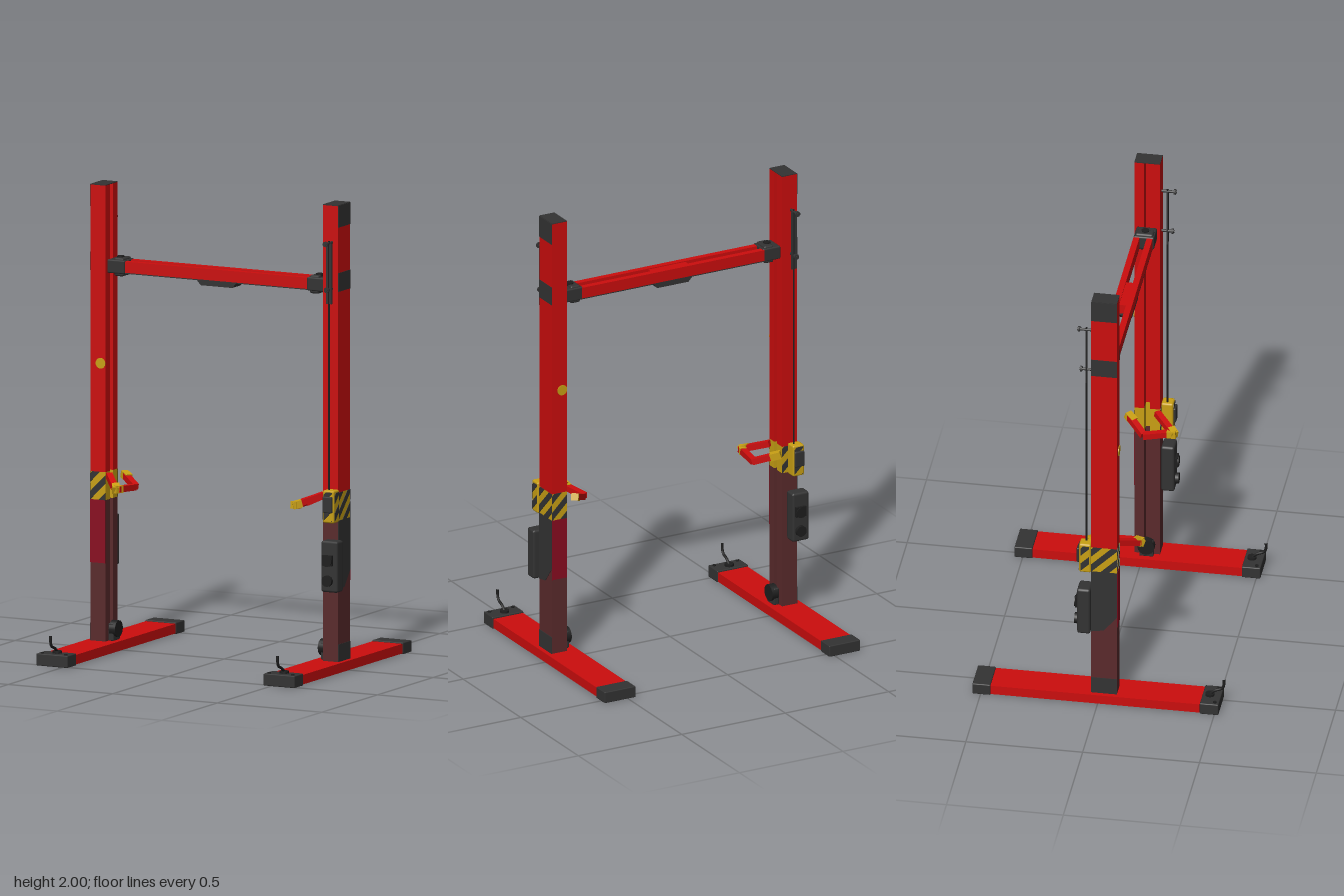
import * as THREE from 'three';
import { RoundedBoxGeometry } from 'three/addons/geometries/RoundedBoxGeometry.js';

const mat = (name, color) => {
  const m = new THREE.MeshStandardMaterial({ color });
  m.name = name;
  return m;
};

export function createModel() {
  const red = mat('red paint', 0xcc0d0d);
  const dark = mat('dark grey', 0x333333);
  const black = mat('black', 0x1e1e1e);
  const yellow = mat('warning yellow', 0xc9a014);
  const brown = mat('dark maroon', 0x5a2a2c);
  const crimson = mat('crimson', 0x8a0c20);

  const add = (parent, name, geo, material) => {
    const m = new THREE.Mesh(geo, material);
    m.name = name;
    parent.add(m);
    return m;
  };
  // Box from its limits, optionally with rounded edges
  const box = (parent, name, material, x0, x1, y0, y1, z0, z1, r = 0) => {
    const w = Math.abs(x1 - x0), h = y1 - y0, d = z1 - z0;
    const g = r ? new RoundedBoxGeometry(w, h, d, 1, r) : new THREE.BoxGeometry(w, h, d);
    g.translate((x0 + x1) / 2, (y0 + y1) / 2, (z0 + z1) / 2);
    return add(parent, name, g, material);
  };
  // Round bar between two points
  const bar = (parent, name, material, a, b, r, sides = 10) => {
    const p = new THREE.Vector3(...a), q = new THREE.Vector3(...b), dir = q.clone().sub(p);
    const m = add(parent, name, new THREE.CylinderGeometry(r, r, dir.length(), sides), material);
    m.position.copy(p).add(q).multiplyScalar(0.5);
    m.quaternion.setFromUnitVectors(new THREE.Vector3(0, 1, 0), dir.normalize());
    return m;
  };
  // Diagonal hazard stripes inside a w by h panel, centred
  const stripes = (w, h) => {
    const shapes = [];
    const clip = (pts, limit, sign) => {
      const out = [];
      pts.forEach((p, i) => {
        const q = pts[(i + 1) % pts.length];
        const inP = sign * (limit - p[0]) >= 0, inQ = sign * (limit - q[0]) >= 0;
        if (inP) out.push(p);
        if (inP !== inQ) {
          const t = (limit - p[0]) / (q[0] - p[0]);
          out.push([limit, p[1] + t * (q[1] - p[1])]);
        }
      });
      return out;
    };
    for (let c = -h + 0.01; c < w; c += 0.075) {
      let pts = [[c, 0], [c + 0.036, 0], [c + 0.036 + h, h], [c + h, h]];
      pts = clip(clip(pts, w, 1), 0, -1);
      if (pts.length > 2) shapes.push(new THREE.Shape(pts.map(p => new THREE.Vector2(p[0] - w / 2, p[1] - h / 2))));
    }
    return new THREE.ExtrudeGeometry(shapes, { depth: 0.002, bevelEnabled: false });
  };
  const addStripes = (parent, w, h, x, y, z, turn) => {
    const m = add(parent, 'hazardStripes', stripes(w, h), dark);
    m.position.set(x, y, z);
    m.rotation.y = turn;
  };

  const model = new THREE.Group();
  model.name = 'adjustableRack';
  const rack = new THREE.Group();
  rack.name = 'rack';
  rack.position.x = -0.005;
  model.add(rack);

  // Slotted upright channel, open towards the inside
  const X0 = 0.52, X1 = 0.592, Z0 = -0.03, Z1 = 0.08, ZC = 0.025;
  const profile = new THREE.Shape([
    [X0, -Z1], [X1, -Z1], [X1, -Z0], [X0, -Z0], [X0, -0.012], [0.57, -0.012], [0.57, -0.038], [X0, -0.038],
  ].map(p => new THREE.Vector2(...p)));
  const channel = (parent, name, material, y0, y1) => {
    const g = new THREE.ExtrudeGeometry(profile, { depth: y1 - y0, bevelEnabled: false });
    g.rotateX(-Math.PI / 2).translate(0, y0, 0);
    add(parent, name, g, material);
  };

  const buildUpright = () => {
    const u = new THREE.Group();
    u.name = 'upright';
    channel(u, 'lowerPost', brown, 0.045, 0.65);
    channel(u, 'warningBand', yellow, 0.65, 0.77);
    channel(u, 'upperPost', red, 0.77, 1.997);
    box(u, 'topCap', dark, X0, X1, 1.997, 2, Z0, Z1);

    // Painted bands on the outer face
    const e = 0.002;
    for (const [a, b] of [[1.905, 1.998], [1.63, 1.71], [0.57, 0.65], [0.045, 0.12]])
      box(u, 'outerBand', dark, X1, X1 + e, a, b, Z0, Z1);
    const patch = new THREE.Shape([[-Z1, 0.35], [-ZC, 0.36], [-Z0, 0.43], [-Z0, 0.57], [-Z1, 0.57]].map(p => new THREE.Vector2(...p)));
    const patchMesh = add(u, 'outerPatch', new THREE.ExtrudeGeometry(patch, { depth: e, bevelEnabled: false }), dark);
    patchMesh.rotation.y = Math.PI / 2;
    patchMesh.position.x = X1;
    box(u, 'fadedPanel', crimson, X0, X1, 0.38, 0.65, Z0 - e, Z0);

    // Hazard stripes on the three outer faces
    addStripes(u, 0.11, 0.12, X1, 0.71, ZC, Math.PI / 2);
    addStripes(u, 0.072, 0.12, 0.556, 0.71, Z1, 0);
    addStripes(u, 0.072, 0.12, 0.556, 0.71, Z0, Math.PI);

    // Round yellow marker
    bar(u, 'heightMarker', yellow, [0.543, 1.235, Z0 - 0.003], [0.543, 1.235, Z0], 0.023, 16);

    // Control box with buttons
    box(u, 'controlBox', dark, 0.54, 0.62, 0.35, 0.57, Z1, 0.138, 0.01);
    for (const y of [0.4, 0.485])
      bar(u, 'button', black, [0.575, y, 0.135], [0.575, y, 0.153], 0.024, 14);
    box(u, 'buttonBridge', black, 0.551, 0.599, 0.465, 0.51, 0.135, 0.149);

    // Striped release housing
    box(u, 'releaseHousing', yellow, 0.545, 0.6, 0.645, 0.785, Z1, 0.132, 0.008);
    addStripes(u, 0.04, 0.125, 0.572, 0.715, 0.132, 0);
    addStripes(u, 0.036, 0.12, 0.6, 0.715, 0.106, Math.PI / 2);
    box(u, 'releaseGrip', dark, 0.55, 0.595, 0.69, 0.76, 0.13, 0.143, 0.005);

    // Release rod, its shield and the retaining pins
    bar(u, 'releaseRod', black, [0.563, 0.78, 0.105], [0.563, 1.85, 0.105], 0.004, 8);
    box(u, 'rodShield', dark, 0.551, 0.577, 1.58, 1.84, 0.102, 0.108);
    for (const [y, z] of [[1.84, 0.145], [1.642, 0.135]]) {
      bar(u, 'rodPin', dark, [0.563, y, 0.06], [0.563, y, z], 0.006, 8);
      bar(u, 'pinHead', dark, [0.563, y, z - 0.012], [0.563, y, z - 0.004], 0.012, 10);
    }

    // Pulley and bracket at the foot of the inner face
    box(u, 'pulleyBracket', dark, 0.495, X0, 0.045, 0.12, -0.005, 0.055, 0.004);
    bar(u, 'pulley', black, [0.485, 0.095, ZC], [0.515, 0.095, ZC], 0.036, 16);
    return u;
  };

  // The second upright is the first one turned half round
  const rightUpright = buildUpright(), leftUpright = buildUpright();
  rightUpright.rotation.y = Math.PI;
  rightUpright.position.z = 2 * ZC;
  leftUpright.name = 'leftUpright';
  rightUpright.name = 'rightUpright';
  rack.add(leftUpright, rightUpright);

  // Mirrored parts: feet, crossbar brackets and safety arms
  for (const s of [1, -1]) {
    const side = new THREE.Group();
    side.name = s > 0 ? 'leftSide' : 'rightSide';
    rack.add(side);

    box(side, 'footBeam', red, s * 0.471, s * 0.614, 0.004, 0.045, -0.46, 0.44);
    box(side, 'rearFootCap', dark, s * 0.468, s * 0.618, 0, 0.05, -0.535, -0.458, 0.004);
    box(side, 'frontFootCap', dark, s * 0.468, s * 0.618, 0, 0.052, 0.438, 0.518, 0.004);
    bar(side, 'hookBase', black, [s * 0.543, 0.05, 0.47], [s * 0.543, 0.062, 0.47], 0.02, 14);
    for (const x of [0.487, 0.599])
      bar(side, 'capBolt', black, [s * x, 0.05, 0.5], [s * x, 0.056, 0.5], 0.008, 8);
    const hook = new THREE.CatmullRomCurve3([[0.055, 0.468], [0.075, 0.49], [0.09, 0.522], [0.11, 0.53], [0.135, 0.53]]
      .map(([y, z]) => new THREE.Vector3(s * 0.543, y, z)));
    add(side, 'footHook', new THREE.TubeGeometry(hook, 16, 0.006, 8), black);

    box(side, 'crossbarBracket', dark, s * 0.436, s * 0.52, 1.622, 1.68, -0.02, 0.068, 0.006);
    box(side, 'bracketCollar', dark, s * 0.445, s * 0.49, 1.61, 1.688, -0.014, 0.062, 0.008);
    bar(side, 'bracketBolt', black, [s * 0.476, 1.68, ZC], [s * 0.476, 1.693, ZC], 0.016, 14);

    // Sloped ring-shaped arm with yellow corners
    const P = [[0.49, -0.045], [0.408, 0.025], [0.428, 0.155], [0.515, 0.065]]
      .map(([x, z]) => new THREE.Vector3(s * x, 0.755 - (0.515 - x) * 0.45, z));
    const beam = (name, material, a, b, w) => {
      const m = add(side, name, new THREE.BoxGeometry(w, w, a.distanceTo(b)), material);
      m.position.copy(a).add(b).multiplyScalar(0.5);
      m.lookAt(b);
    };
    for (let i = 0; i < 3; i++) beam('armRail', red, P[i], P[i + 1], 0.026);
    for (const i of [1, 2])
      beam('armTip', yellow, P[2].clone().lerp(P[i === 1 ? 1 : 3], -0.08), P[2].clone().lerp(P[i === 1 ? 1 : 3], 0.22), 0.031);
    beam('armHeel', yellow, P[0].clone().lerp(P[1], -0.12), P[0].clone().lerp(P[1], 0.28), 0.031);
  }

  // Crossbar: two rails joined by a centre plate and a grip below
  const bar0 = new THREE.Group();
  bar0.name = 'crossbar';
  rack.add(bar0);
  for (const z of [-0.02, 0.036]) {
    box(bar0, 'crossbarRail', red, -0.44, 0.44, 1.628, 1.676, z, z + 0.026);
    box(bar0, 'railUnderside', dark, -0.44, 0.44, 1.624, 1.628, z, z + 0.026);
  }
  box(bar0, 'centrePlate', red, -0.09, 0.09, 1.63, 1.672, 0.006, 0.036);
  const grip = new THREE.Shape([[-0.075, 1.603], [0.075, 1.603], [0.095, 1.624], [-0.095, 1.624]].map(p => new THREE.Vector2(...p)));
  const gripMesh = add(bar0, 'centreGrip', new THREE.ExtrudeGeometry(grip, { depth: 0.076, bevelEnabled: false }), dark);
  gripMesh.position.z = -0.017;

  return model;
}
